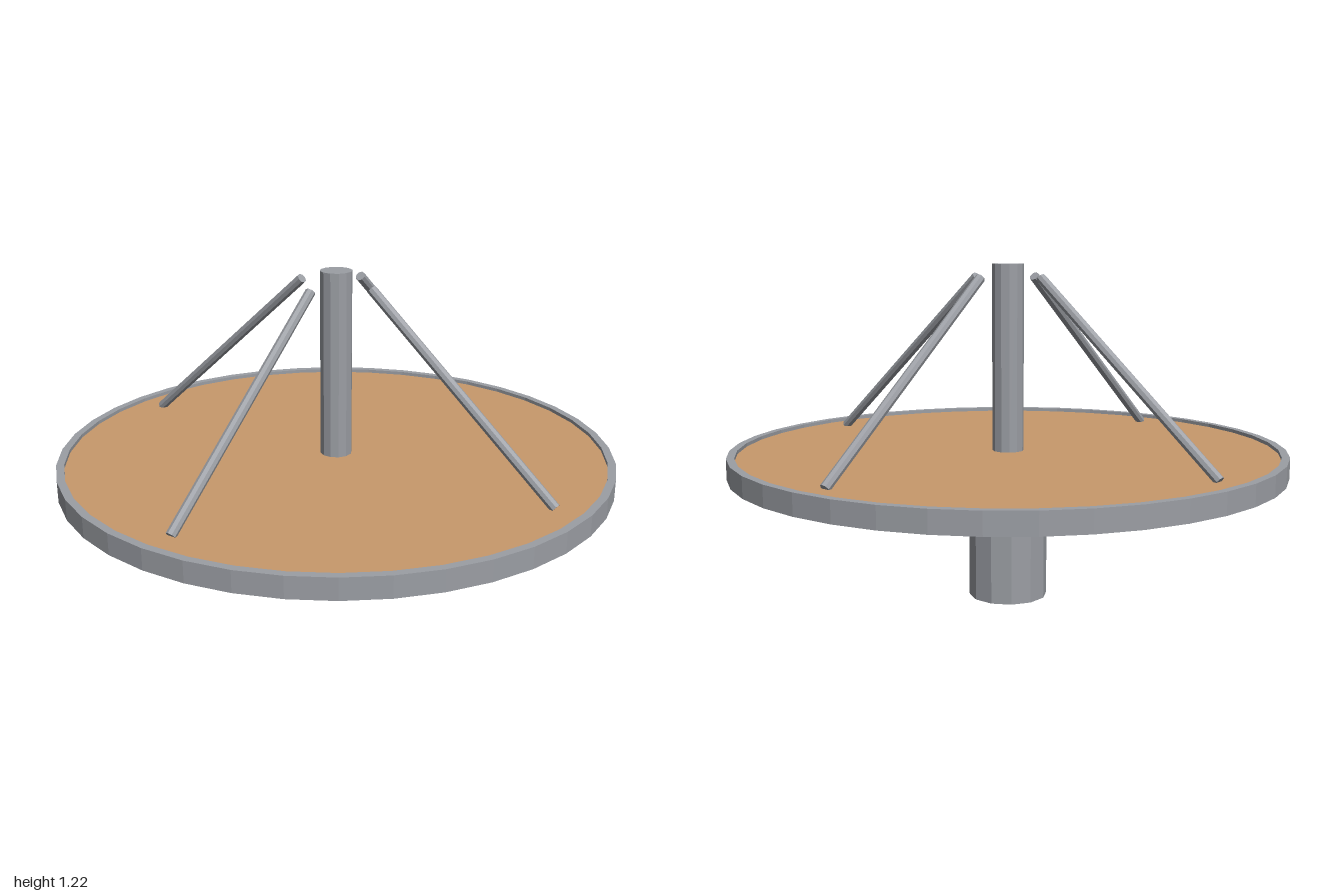
import * as THREE from 'three';

export function createModel() {
  const model = new THREE.Group();
  const steel = new THREE.MeshStandardMaterial({ name: 'steel grey', color: 0x9b9ea4 });
  const wood = new THREE.MeshStandardMaterial({ name: 'tan wood', color: 0xc8996b });
  steel.flatShading = wood.flatShading = true;

  const add = (name, geometry, material) => {
    const mesh = new THREE.Mesh(geometry, material);
    mesh.name = name;
    model.add(mesh);
    return mesh;
  };

  // upright cylinder between two heights
  const upright = (name, radius, y0, y1, sides, material) => {
    const mesh = add(name, new THREE.CylinderGeometry(radius, radius, y1 - y0, sides), material);
    mesh.position.y = (y0 + y1) / 2;
  };

  upright('pedestal', 0.143, 0, 0.495, 12, steel);
  upright('deck', 0.975, 0.492, 0.542, 40, wood);
  upright('centrePost', 0.057, 0.53, 1.215, 12, steel);

  // square-section ring around the deck
  const section = [[0.972, 0.48], [1, 0.48], [1, 0.555], [0.972, 0.555], [0.972, 0.48]];
  add('rim', new THREE.LatheGeometry(section.map(([r, y]) => new THREE.Vector2(r, y)), 40), steel);

  // four sloping grab bars on the diagonals
  const up = new THREE.Vector3(0, 1, 0);
  for (const sx of [-1, 1]) {
    for (const sz of [-1, 1]) {
      const foot = new THREE.Vector3(0.617 * sx, 0.545, 0.617 * sz);
      const head = new THREE.Vector3(0.105 * sx, 1.168, 0.105 * sz);
      const along = head.clone().sub(foot);
      const bar = add('grabBar', new THREE.CylinderGeometry(0.018, 0.018, along.length(), 8), steel);
      bar.position.addVectors(foot, head).multiplyScalar(0.5);
      bar.quaternion.setFromUnitVectors(up, along.normalize());
    }
  }
  return model;
}
